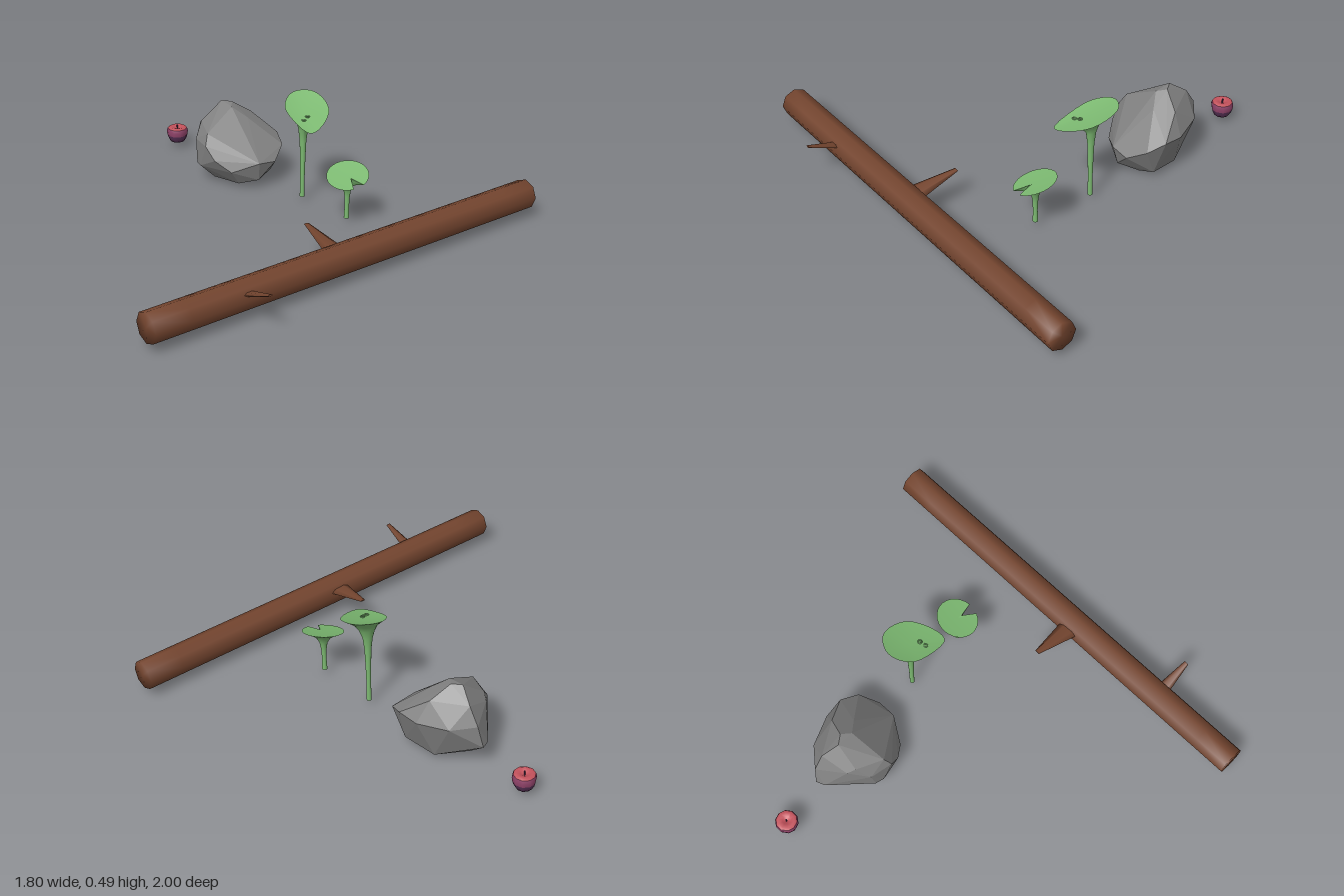
import * as THREE from 'three';
import { mergeVertices } from 'three/addons/utils/BufferGeometryUtils.js';
import { ConvexGeometry } from 'three/addons/geometries/ConvexGeometry.js';

const material = (name, color, flatShading = false) => {
  const m = new THREE.MeshStandardMaterial({ color, flatShading });
  m.name = name;
  return m;
};

function addMesh(parent, name, geometry, mat) {
  const mesh = new THREE.Mesh(geometry, mat);
  mesh.name = name;
  parent.add(mesh);
  return mesh;
}

// Shares all corners so the normals run smoothly over every edge
function soften(geometry) {
  geometry.deleteAttribute('normal');
  geometry.deleteAttribute('uv');
  const g = mergeVertices(geometry, 1e-4);
  g.computeVertexNormals();
  return g;
}

function indexed(positions, index) {
  const g = new THREE.BufferGeometry();
  g.setAttribute('position', new THREE.Float32BufferAttribute(positions, 3));
  g.setIndex(index);
  g.computeVertexNormals();
  return g;
}

// Flattened tapering twig from a to b; width runs along z
function twig(parent, name, a, b, baseWidth, tipWidth, flatness, mat) {
  const from = new THREE.Vector3(...a), dir = new THREE.Vector3(...b).sub(from);
  const g = new THREE.CylinderGeometry(tipWidth, baseWidth, dir.length(), 6);
  g.translate(0, dir.length() / 2, 0).scale(flatness, 1, 1);
  const mesh = addMesh(parent, name, g, mat);
  mesh.position.copy(from);
  mesh.quaternion.setFromUnitVectors(new THREE.Vector3(0, 1, 0), dir.normalize());
}

// Stem that flares into a tilted leaf. outline: [x, z] around the stem, from +x towards +z
function plant(name, cx, cz, outline, stem, flare, plane, dip, mat) {
  const group = new THREE.Group();
  group.name = name;
  const n = outline.length, side = [], index = [];
  const stemRadius = stem[stem.length - 1][1];
  const polar = outline.map(([x, z]) => [Math.atan2(z - cz, x - cx), Math.hypot(x - cx, z - cz)]);
  for (const [y, r] of stem)
    for (const [a] of polar) side.push(cx + r * Math.cos(a), y, cz + r * Math.sin(a));
  for (const [f, drop] of flare)
    for (const [a, edge] of polar) {
      const r = THREE.MathUtils.lerp(stemRadius, edge, f);
      const x = cx + r * Math.cos(a), z = cz + r * Math.sin(a);
      side.push(x, plane(x, z) - drop, z);
    }
  const rings = stem.length + flare.length;
  for (let i = 0; i < rings - 1; i++)
    for (let j = 0; j < n; j++) {
      const a = i * n + j, b = i * n + (j + 1) % n;
      index.push(a, a + n, b, b, a + n, b + n);
    }
  addMesh(group, 'stemAndLeafUnderside', indexed(side, index), mat);

  // Leaf top, dipping towards the stem
  const top = [cx, plane(cx, cz) - dip, cz], fan = [];
  outline.forEach(([x, z], j) => {
    top.push(x, plane(x, z), z);
    fan.push(0, 1 + (j + 1) % n, 1 + j);
  });
  addMesh(group, 'leafTop', indexed(top, fan), mat);

  // Foot of the stem
  const foot = new THREE.CircleGeometry(stem[0][1], 10).rotateX(Math.PI / 2).translate(cx, stem[0][0], cz);
  addMesh(group, 'stemFoot', foot, mat);
  return group;
}

export function createModel() {
  const model = new THREE.Group();
  model.name = 'forestProps';
  const brown = material('barkBrown', 0x74452f);
  const grey = material('stoneGrey', 0x818181, true);
  const green = material('leafGreen', 0x7cb971);
  const red = material('fruitRed', 0xc4525c);
  const magenta = material('fruitMagenta', 0x8e4268);
  const purple = material('fruitPurple', 0x593257);

  // Fallen log with two twigs
  const log = new THREE.Group();
  log.name = 'log';
  model.add(log);
  const trunk = soften(new THREE.CylinderGeometry(0.067, 0.067, 2, 8, 12).rotateX(Math.PI / 2));
  addMesh(log, 'trunk', trunk, brown).position.set(0.715, 0.1, 0);
  twig(log, 'innerTwig', [0.67, 0.12, 0.058], [0.47, 0.158, 0.044], 0.05, 0.012, 0.25, brown);
  twig(log, 'outerTwig', [0.75, 0.118, 0.56], [0.898, 0.174, 0.56], 0.03, 0.011, 0.35, brown);

  // Faceted boulder
  const corners = [
    [-0.5, 0.347, -0.22], [-0.42, 0.337, -0.22], [-0.46, 0.345, -0.25], [-0.575, 0.295, -0.25],
    [-0.625, 0.217, -0.25], [-0.645, 0.115, -0.235], [-0.63, 0.12, -0.195], [-0.365, 0.29, -0.27],
    [-0.545, 0.245, -0.13], [-0.51, 0.265, -0.11], [-0.39, 0.25, -0.06], [-0.475, 0.2, -0.055],
    [-0.37, 0.2, -0.035], [-0.46, 0.087, -0.05], [-0.42, 0.087, -0.04], [-0.32, 0.14, -0.05],
    [-0.257, 0.09, -0.1], [-0.19, 0.13, -0.21], [-0.19, 0.12, -0.3], [-0.24, 0.17, -0.38],
    [-0.32, 0.2, -0.41], [-0.415, 0.19, -0.4], [-0.55, 0.2, -0.34], [-0.43, 0.285, -0.34],
    [-0.53, 0.01, -0.2], [-0.285, 0, -0.28], [-0.21, 0.04, -0.22], [-0.42, 0.01, -0.12],
    [-0.45, 0.01, -0.33], [-0.3, 0.03, -0.36], [-0.27, 0.02, -0.15],
  ];
  addMesh(model, 'boulder', new ConvexGeometry(corners.map((c) => new THREE.Vector3(...c))), grey);

  // Tall plant with a teardrop leaf
  const teardrop = new THREE.CatmullRomCurve3([
    [0.16, -0.245], [0.145, -0.22], [0.03, -0.215], [-0.04, -0.235], [-0.085, -0.29],
    [-0.09, -0.34], [-0.055, -0.395], [0, -0.41], [0.08, -0.39], [0.135, -0.325],
  ].map(([x, z]) => new THREE.Vector3(x, 0, z)), true);
  const tallOutline = teardrop.getPoints(30).slice(0, 30).map((p) => [p.x, p.z]);
  const tallPlane = (x, z) => 0.455 - 0.32 * x - 0.2 * (z + 0.3);
  const tall = plant('tallPlant', 0.012, -0.3, tallOutline,
    [[0.02, 0.011], [0.1, 0.01], [0.2, 0.012], [0.29, 0.015], [0.35, 0.022]],
    [[0.15, 0.065], [0.35, 0.038], [0.65, 0.018], [1, 0]], tallPlane, 0.015, green);
  model.add(tall);
  for (const [x, z] of [[0.06, -0.285], [0.068, -0.258]]) {
    const bead = new THREE.TorusGeometry(0.008, 0.003, 5, 10).rotateX(Math.PI / 2);
    addMesh(tall, 'leafRing', bead, green).position.set(x, tallPlane(x, z) - 0.006, z);
  }

  // Short plant with a notched round leaf
  const notched = [];
  for (let i = 0; i <= 24; i++) {
    const a = 0.4 + (i / 24) * (Math.PI * 2 - 0.55);
    notched.push([0.315 + 0.093 * Math.cos(a), -0.308 + 0.093 * Math.sin(a)]);
  }
  notched.push([0.338, -0.306]);
  model.add(plant('shortPlant', 0.315, -0.308, notched,
    [[0.025, 0.012], [0.08, 0.01], [0.13, 0.012], [0.17, 0.018]],
    [[0.2, 0.035], [0.5, 0.018], [1, 0]],
    (x, z) => 0.229 - 0.22 * (x - 0.315) - 0.25 * (z + 0.308), 0.006, green));

  // Small fruit in three colour bands
  const fruit = new THREE.Group();
  fruit.name = 'fruit';
  fruit.position.set(-0.855, 0, -0.205);
  model.add(fruit);
  const band = (name, profile, mat) => addMesh(fruit, name,
    new THREE.LatheGeometry(profile.map(([r, y]) => new THREE.Vector2(r, y)), 10), mat);
  band('fruitBottom', [[0, 0.03], [0.036, 0.028], [0.045, 0.045], [0.049, 0.06]], purple);
  band('fruitMiddle', [[0.049, 0.06], [0.052, 0.08], [0.047, 0.094]], magenta);
  band('fruitTop', [[0.047, 0.094], [0.035, 0.101], [0.018, 0.096], [0, 0.085]], red);
  addMesh(fruit, 'fruitStem', new THREE.CylinderGeometry(0.004, 0.003, 0.026, 5), purple).position.y = 0.096;

  return model;
}
